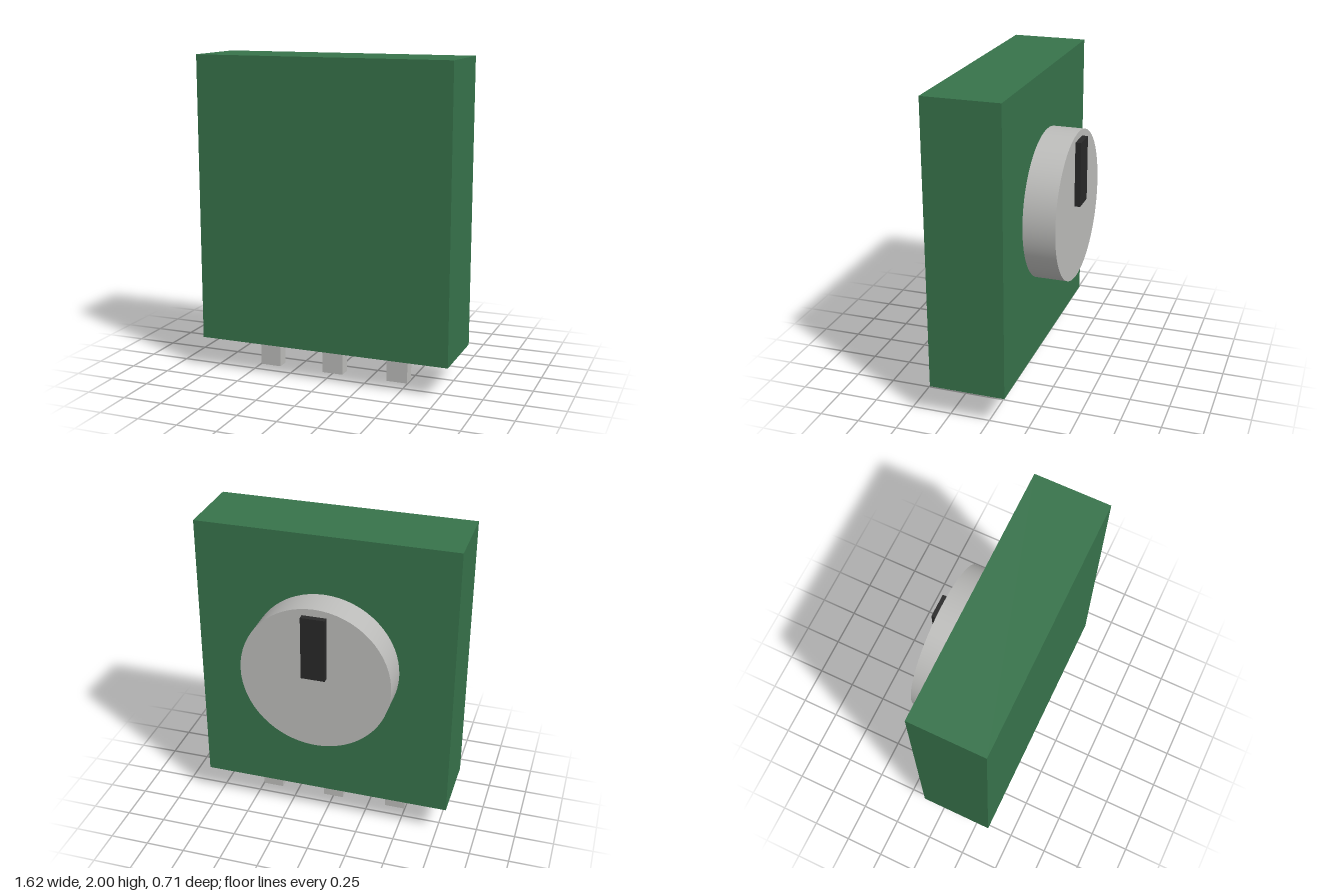
import * as THREE from 'three';

const green = new THREE.MeshStandardMaterial({ name: 'green', color: 0x37734b });
const silver = new THREE.MeshStandardMaterial({ name: 'silver', color: 0xbcbcba });
const black = new THREE.MeshStandardMaterial({ name: 'black', color: 0x292929 });

export function createModel() {
  const model = new THREE.Group();
  model.name = 'rotaryTrimmer';

  const add = (name, geometry, material, x, y, z) => {
    const mesh = new THREE.Mesh(geometry, material);
    mesh.name = name;
    mesh.position.set(x, y, z);
    model.add(mesh);
    return mesh;
  };

  // Housing block
  add('housing', new THREE.BoxGeometry(1.62, 1.795, 0.474), green, 0, 1.1025, 0.118);

  // Round knob on the back, with its raised pointer
  const knobY = 1.154;
  const knob = new THREE.CylinderGeometry(0.472, 0.472, 0.2, 64).rotateX(Math.PI / 2);
  add('knob', knob, silver, 0, knobY, -0.219);
  add('pointer', new THREE.BoxGeometry(0.15, 0.406, 0.036), black, 0, 1.377, -0.337);

  // Three connection pins under the housing
  ['rightPin', 'middlePin', 'leftPin'].forEach((name, i) => {
    add(name, new THREE.BoxGeometry(0.135, 0.205, 0.08), silver, (i - 1) * 0.43, 0.1025, 0.118);
  });

  return model;
}
